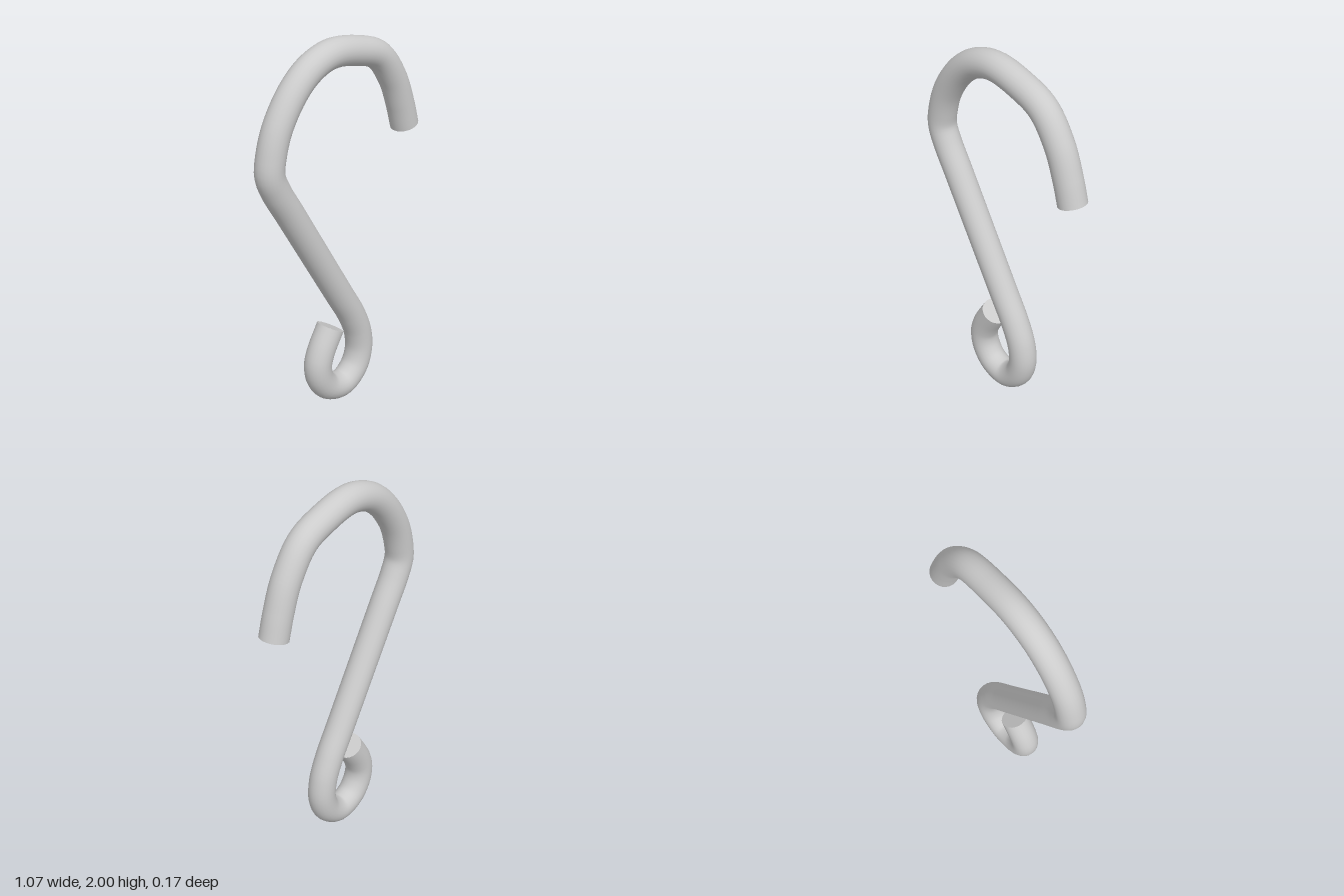
import * as THREE from 'three';

const RADIUS = 0.073;
const SIDES = 24;

// Centre line of the rod in the front plane, from the big hook's tip to the small hook's tip
const LINE = [
  [0.466, 1.426], [0.43, 1.55], [0.37, 1.70], [0.26, 1.843], [0.11, 1.902],
  [-0.065, 1.927], [-0.2, 1.887], [-0.31, 1.8], [-0.41, 1.655], [-0.453, 1.53], [-0.464, 1.435],
  [-0.43, 1.345], [-0.345, 1.2], [-0.175, 0.91], [-0.005, 0.62], [0.08, 0.475],
  [0.13, 0.355], [0.142, 0.24], [0.105, 0.14], [0.015, 0.078],
  [-0.09, 0.105], [-0.148, 0.18], [-0.162, 0.26], [-0.14, 0.335], [-0.07, 0.455],
];

export function createModel() {
  const group = new THREE.Group();
  group.name = 'sHook';
  const material = new THREE.MeshStandardMaterial({ color: 0xcccccc });

  // The bent rod lies in a plane turned slightly about the vertical
  const points = LINE.map(([x, y]) => new THREE.Vector3(x, y, -0.003 - 0.028 * x));
  const curve = new THREE.CatmullRomCurve3(points, false, 'centripetal');
  const rod = new THREE.Mesh(new THREE.TubeGeometry(curve, 140, RADIUS, SIDES), material);
  rod.name = 'bentRod';
  group.add(rod);

  // Flat cut ends
  const addEnd = (name, t, sign) => {
    const end = new THREE.Mesh(new THREE.CircleGeometry(RADIUS, SIDES), material);
    end.name = name;
    end.position.copy(curve.getPointAt(t));
    const outward = curve.getTangentAt(t).multiplyScalar(sign);
    end.quaternion.setFromUnitVectors(new THREE.Vector3(0, 0, 1), outward);
    group.add(end);
  };
  addEnd('largeHookEnd', 0, -1);
  addEnd('smallHookEnd', 1, 1);

  return group;
}
